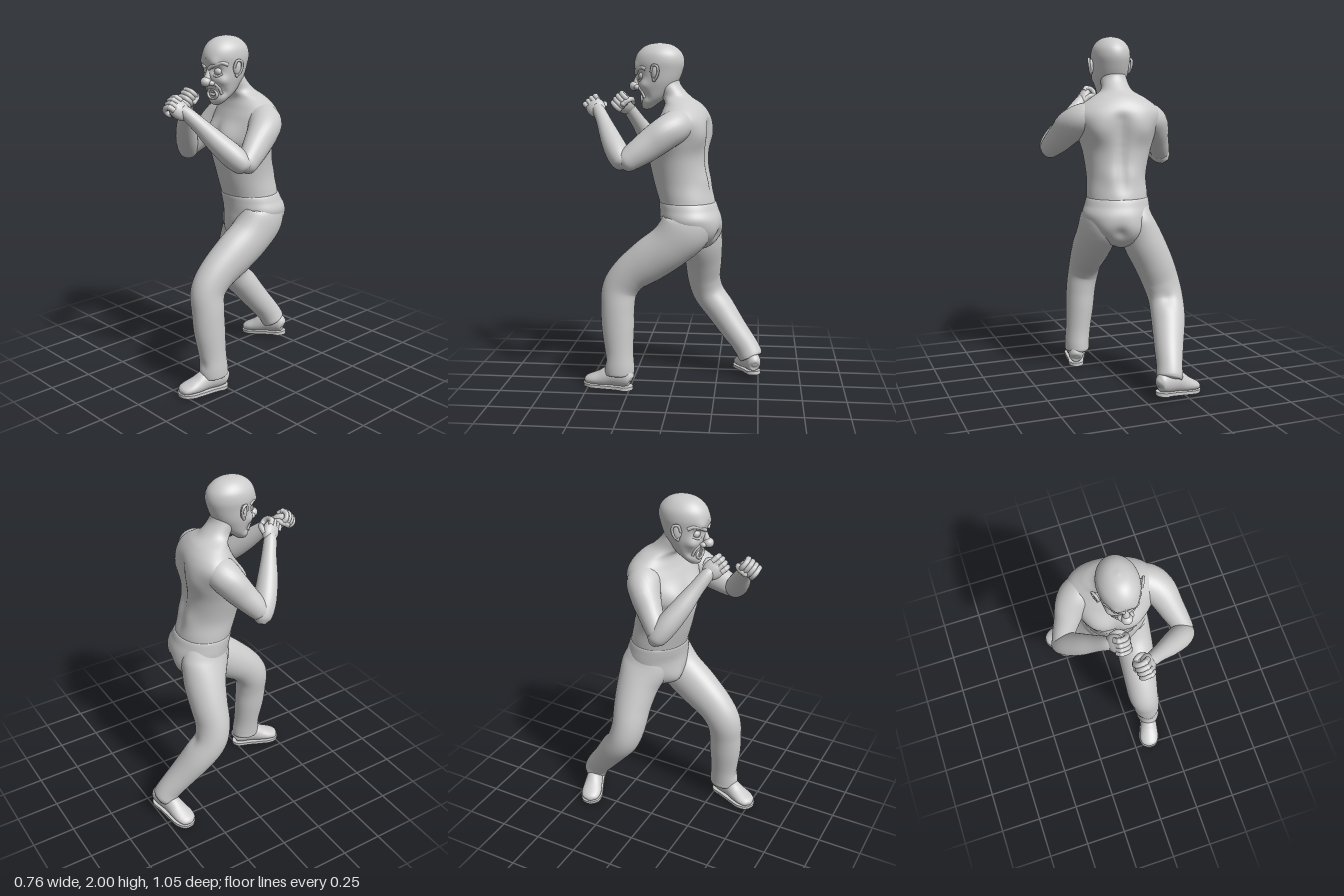
import * as THREE from 'three';

const V = (a) => new THREE.Vector3(a[0], a[1], a[2]);
const mat = new THREE.MeshStandardMaterial({ color: 0xcccccc });

function add(parent, name, geo, pos = [0, 0, 0], scale = [1, 1, 1], rot = [0, 0, 0]) {
  const m = new THREE.Mesh(geo, mat);
  m.name = name;
  m.position.set(...pos);
  m.scale.set(...scale);
  m.rotation.set(...rot);
  parent.add(m);
}
function group(parent, name) {
  const g = new THREE.Group();
  g.name = name;
  parent.add(g);
  return g;
}

// Smooth skin through elliptical sections [x, y, z, radiusA, radiusB]
function loft(rows, { side = [1, 0, 0], axis = null, steps = 6, seg = 28 } = {}) {
  const path = new THREE.CatmullRomCurve3(rows.map(V), false, 'catmullrom', 0.5);
  const size = new THREE.CatmullRomCurve3(rows.map((r) => new THREE.Vector3(r[3], r[4], 0)), false, 'catmullrom', 0.5);
  const n = (rows.length - 1) * steps, pos = [], idx = [];
  for (let i = 0; i <= n; i++) {
    const c = path.getPoint(i / n), s = size.getPoint(i / n);
    const t = axis ? V(axis) : path.getTangent(i / n);
    const u = V(side).addScaledVector(t, -V(side).dot(t)).normalize();
    const w = t.clone().cross(u);
    for (let j = 0; j < seg; j++) {
      const a = (j / seg) * Math.PI * 2;
      const p = c.clone().addScaledVector(u, Math.max(s.x, 0.001) * Math.cos(a))
        .addScaledVector(w, Math.max(s.y, 0.001) * Math.sin(a));
      pos.push(p.x, p.y, p.z);
      if (i < n) {
        const k = i * seg + j, l = i * seg + ((j + 1) % seg);
        idx.push(k, l, k + seg, l, l + seg, k + seg);
      }
    }
  }
  const first = pos.length / 3, last = n * seg;
  pos.push(...path.getPoint(0).toArray(), ...path.getPoint(1).toArray());
  for (let j = 0; j < seg; j++) {
    const l = (j + 1) % seg;
    idx.push(first, l, j, first + 1, last + j, last + l);
  }
  const g = new THREE.BufferGeometry();
  g.setAttribute('position', new THREE.Float32BufferAttribute(pos, 3));
  g.setIndex(idx);
  g.computeVertexNormals();
  return g;
}

// Raise or sink the skin around points: [x, y, z, height, reach]
function swell(geo, bumps) {
  const p = geo.attributes.position, nrm = geo.attributes.normal;
  for (let i = 0; i < p.count; i++) {
    const v = new THREE.Vector3().fromBufferAttribute(p, i);
    const h = bumps.reduce((s, b) => s + b[3] * Math.exp(-v.distanceToSquared(V(b)) / (b[4] * b[4])), 0);
    v.addScaledVector(new THREE.Vector3().fromBufferAttribute(nrm, i), h);
    p.setXYZ(i, v.x, v.y, v.z);
  }
  geo.computeVertexNormals();
  return geo;
}
const tube = (pts, r, n = 14) => new THREE.TubeGeometry(new THREE.CatmullRomCurve3(pts.map(V)), n, r, 8);
const ball = new THREE.SphereGeometry(1, 24, 16);

function buildTorso(man) {
  const c = Math.cos(0.2), s = Math.sin(0.2), side = [c, 0, s];
  const at = (u, y, v) => [c * u - s * v, y, s * u + c * v - 0.02];
  const bumps = [];
  for (const k of [-1, 1]) {
    bumps.push([...at(k * 0.09, 1.44, 0.14), 0.024, 0.075]);      // pectorals
    bumps.push([...at(k * 0.12, 1.48, -0.16), 0.022, 0.075]);     // shoulder blades
    bumps.push([...at(k * 0.055, 1.22, -0.18), 0.01, 0.06]);      // lower back
    for (let i = 0; i < 5; i++) bumps.push([...at(k * (0.02 + i * 0.035), 1.355 + i * i * 0.002, 0.165 - i * 0.012), -0.009, 0.024]);
  }
  for (let i = 0; i < 9; i++) bumps.push([...at(0, 1.14 + i * 0.05, -0.18), -0.014, 0.035]);
  for (let i = 0; i < 5; i++) bumps.push([...at(0, 1.38 + i * 0.04, 0.16), -0.01, 0.026]);
  add(man, 'torso', swell(loft([
    [0.025, 1.04, -0.09, 0.175, 0.155], [0.02, 1.12, -0.073, 0.173, 0.161], [0.015, 1.22, -0.045, 0.171, 0.162],
    [0.007, 1.35, -0.027, 0.194, 0.168], [0.01, 1.45, -0.03, 0.224, 0.165], [0.018, 1.55, -0.055, 0.25, 0.147],
    [0.013, 1.61, -0.062, 0.218, 0.125], [0.005, 1.66, -0.05, 0.15, 0.1], [0, 1.7, -0.01, 0.09, 0.085],
    [0, 1.76, 0.035, 0.076, 0.075], [0, 1.82, 0.05, 0.07, 0.07],
  ], { side, axis: [0, 1, 0], steps: 8, seg: 64 }), bumps));
  // Trouser top with buttocks
  add(man, 'trouserSeat', swell(loft([
    [0.005, 0.81, -0.1, 0.03, 0.04], [0.005, 0.845, -0.1, 0.11, 0.115], [0.02, 0.91, -0.1, 0.17, 0.155],
    [0.035, 1.0, -0.1, 0.194, 0.168], [0.027, 1.06, -0.088, 0.185, 0.167], [0.022, 1.095, -0.08, 0.176, 0.163],
    [0.022, 1.098, -0.08, 0.165, 0.15],
  ], { side, axis: [0, 1, 0], seg: 64, steps: 8 }), [
    [...at(-0.06, 0.93, -0.25), 0.018, 0.08], [...at(0.1, 0.94, -0.25), 0.018, 0.08],
    [...at(0.02, 0.91, -0.25), -0.02, 0.04], [-0.015, 0.88, 0.04, 0.022, 0.05], [0.03, 0.95, 0.06, 0.015, 0.08],
  ]));
}

function buildShoe(parent, pos, yaw, pitch) {
  const g = group(parent, 'shoe');
  g.position.set(...pos);
  g.rotation.set(pitch, yaw, 0, 'YXZ');
  const upper = loft([
    [0, 0.06, -0.13, 0.01, 0.01], [0, 0.065, -0.12, 0.038, 0.045], [0, 0.075, -0.08, 0.047, 0.06],
    [0, 0.073, 0, 0.05, 0.06], [0, 0.055, 0.06, 0.057, 0.047], [0, 0.045, 0.11, 0.06, 0.034],
    [0, 0.036, 0.15, 0.046, 0.025], [0, 0.03, 0.168, 0.012, 0.01],
  ]);
  const p = upper.attributes.position;
  for (let i = 0; i < p.count; i++) p.setY(i, Math.max(p.getY(i), 0.016));
  upper.computeVertexNormals();
  add(g, 'shoeUpper', upper);
  const outline = [[0, -0.135], [0.04, -0.11], [0.048, -0.04], [0.06, 0.05], [0.065, 0.11], [0.044, 0.158], [0, 0.175]];
  const mirror = outline.slice(1, -1).reverse().map(([x, y]) => [-x, y]);
  const curve = new THREE.CatmullRomCurve3([...outline, ...mirror].map(([x, y]) => new THREE.Vector3(x, y, 0)), true);
  const shape = new THREE.Shape(curve.getPoints(48).map((q) => new THREE.Vector2(q.x, q.y)));
  const sole = new THREE.ExtrudeGeometry(shape, { depth: 0.018, bevelEnabled: false }).rotateX(Math.PI / 2);
  add(g, 'sole', sole, [0, 0.022, 0]);
  add(g, 'heel', new THREE.CylinderGeometry(0.042, 0.042, 0.02, 24), [0, 0.01, -0.085], [1, 1, 1.1]);
}

function buildLegs(man) {
  const left = group(man, 'leftLeg'), right = group(man, 'rightLeg');
  add(left, 'leftTrouserLeg', swell(loft([
    [0.1, 1.08, -0.09, 0.04, 0.05], [0.115, 1.04, -0.092, 0.085, 0.115], [0.126, 0.96, -0.076, 0.107, 0.148],
    [0.122, 0.86, 0.01, 0.11, 0.133], [0.11, 0.77, 0.13, 0.107, 0.127], [0.098, 0.68, 0.245, 0.098, 0.112],
    [0.094, 0.59, 0.31, 0.092, 0.105], [0.108, 0.48, 0.322, 0.088, 0.098], [0.118, 0.36, 0.32, 0.084, 0.095],
    [0.132, 0.22, 0.312, 0.075, 0.083], [0.14, 0.13, 0.31, 0.074, 0.088], [0.14, 0.09, 0.308, 0.07, 0.084],
    [0.14, 0.088, 0.308, 0.045, 0.055],
  ], { seg: 36 }), [[0.1, 0.62, 0.2, -0.012, 0.04], [0.14, 0.17, 0.39, -0.01, 0.03]]));
  add(right, 'rightTrouserLeg', swell(loft([
    [-0.055, 1.08, -0.1, 0.04, 0.05], [-0.06, 1.04, -0.11, 0.08, 0.115], [-0.074, 0.95, -0.125, 0.1, 0.144],
    [-0.113, 0.84, -0.15, 0.115, 0.127], [-0.17, 0.72, -0.16, 0.113, 0.111], [-0.218, 0.6, -0.162, 0.108, 0.1],
    [-0.238, 0.5, -0.19, 0.102, 0.096], [-0.222, 0.4, -0.262, 0.099, 0.09], [-0.188, 0.28, -0.35, 0.085, 0.08],
    [-0.16, 0.18, -0.425, 0.073, 0.075], [-0.148, 0.125, -0.455, 0.074, 0.072], [-0.146, 0.12, -0.457, 0.05, 0.05],
  ], { seg: 36 }), [[-0.21, 0.52, -0.28, -0.012, 0.04], [-0.16, 0.2, -0.35, -0.008, 0.03]]));
  buildShoe(left, [0.133, 0, 0.36], -0.28, 0);
  buildShoe(right, [-0.186, 0.018, -0.442], -1.25, 0.12);
  add(right, 'rightAnkle', loft([[-0.15, 0.17, -0.44, 0.04, 0.04], [-0.145, 0.09, -0.455, 0.038, 0.038]]));
}

// Fist: y points away from the wrist, z faces the palm, the thumb lies on the side given by hand
function buildFist(parent, pos, dir, palm, hand) {
  const g = group(parent, 'fist');
  const y = V(dir).normalize();
  const z = V(palm).addScaledVector(y, -V(palm).dot(y)).normalize();
  g.quaternion.setFromRotationMatrix(new THREE.Matrix4().makeBasis(y.clone().cross(z), y, z));
  g.position.set(...pos);
  g.scale.setScalar(1.18);
  add(g, 'palm', ball, [0, -0.004, 0.002], [0.046, 0.058, 0.031]);
  for (let i = 0; i < 4; i++) {
    const x = hand * (0.031 - i * 0.021), d = Math.abs(i - 1.2) * 0.004;
    add(g, 'finger', tube([[x, 0.012, -0.016], [x, 0.044 - d, -0.012], [x, 0.056 - d, 0.014], [x, 0.038, 0.036],
      [x, 0.01, 0.036], [x, 0.004, 0.018]], 0.0125));
    add(g, 'knuckle', ball, [x, 0.044 - d, -0.012], [0.014, 0.014, 0.014]);
  }
  add(g, 'thumb', tube([[hand * 0.032, -0.03, 0.006], [hand * 0.046, -0.004, 0.024], [hand * 0.03, 0.016, 0.044],
    [hand * 0.002, 0.022, 0.048]], 0.0135));
  add(g, 'thumbTip', ball, [hand * 0.002, 0.022, 0.048], [0.0135, 0.0135, 0.0135]);
}

function buildArms(man) {
  const left = group(man, 'leftArm'), right = group(man, 'rightArm');
  const upright = { side: [0, 1, 0] };
  add(left, 'leftUpperArm', swell(loft([
    [0.08, 1.555, -0.05, 0.06, 0.06], [0.15, 1.55, -0.04, 0.085, 0.088], [0.215, 1.53, -0.01, 0.092, 0.095],
    [0.26, 1.485, 0.055, 0.09, 0.084], [0.293, 1.425, 0.135, 0.082, 0.071], [0.32, 1.375, 0.205, 0.068, 0.058],
    [0.333, 1.347, 0.248, 0.053, 0.047], [0.34, 1.332, 0.272, 0.012, 0.012],
  ], upright), [[0.315, 1.53, 0.04, 0.007, 0.06], [0.31, 1.45, 0.09, -0.008, 0.03]]));
  add(left, 'leftForearm', loft([
    [0.352, 1.325, 0.24, 0.015, 0.015], [0.335, 1.345, 0.25, 0.052, 0.05], [0.285, 1.395, 0.285, 0.068, 0.064],
    [0.21, 1.47, 0.335, 0.06, 0.058], [0.13, 1.555, 0.385, 0.044, 0.043], [0.075, 1.61, 0.42, 0.037, 0.037],
    [0.045, 1.635, 0.44, 0.032, 0.032],
  ]));
  buildFist(left, [0.038, 1.64, 0.452], [-0.4, 0.55, 0.5], [-0.85, -0.4, -0.1], -1);
  add(right, 'rightUpperArm', swell(loft([
    [-0.05, 1.555, -0.08, 0.06, 0.06], [-0.12, 1.55, -0.078, 0.085, 0.088], [-0.18, 1.53, -0.065, 0.09, 0.095],
    [-0.225, 1.475, -0.03, 0.085, 0.083], [-0.267, 1.41, 0.02, 0.075, 0.069], [-0.305, 1.35, 0.068, 0.064, 0.058],
    [-0.323, 1.315, 0.088, 0.05, 0.047], [-0.335, 1.29, 0.1, 0.012, 0.012],
  ], upright), [[-0.28, 1.52, -0.03, 0.008, 0.06], [-0.28, 1.44, 0, -0.008, 0.03]]));
  add(right, 'rightForearm', loft([
    [-0.348, 1.268, 0.072, 0.02, 0.02], [-0.33, 1.3, 0.088, 0.054, 0.052], [-0.29, 1.37, 0.13, 0.066, 0.062],
    [-0.23, 1.46, 0.185, 0.058, 0.057], [-0.165, 1.55, 0.235, 0.044, 0.043], [-0.115, 1.62, 0.275, 0.037, 0.037],
    [-0.09, 1.645, 0.29, 0.032, 0.032],
  ]));
  buildFist(right, [-0.08, 1.655, 0.305], [0.4, 0.5, 0.5], [0.8, -0.3, -0.3], 1);
}

function buildHead(man) {
  const head = group(man, 'head');
  const bumps = [[0, 1.685, 0.19, -0.03, 0.026], [0, 1.64, 0.175, 0.008, 0.03], [0, 1.8, 0.2, 0.012, 0.022]];
  for (const k of [-1, 1]) bumps.push([k * 0.045, 1.82, 0.19, -0.022, 0.026], [k * 0.065, 1.765, 0.165, 0.016, 0.03],
    [k * 0.045, 1.86, 0.205, 0.012, 0.026], [k * 0.06, 1.7, 0.15, -0.008, 0.02]);
  add(head, 'skull', swell(loft([
    [0, 1.628, 0.15, 0.015, 0.01], [0, 1.638, 0.148, 0.04, 0.028], [0, 1.66, 0.14, 0.06, 0.05], [0, 1.69, 0.12, 0.074, 0.073],
    [0, 1.73, 0.104, 0.086, 0.094], [0, 1.78, 0.092, 0.098, 0.115], [0, 1.84, 0.086, 0.105, 0.133],
    [0, 1.89, 0.085, 0.11, 0.143], [0, 1.935, 0.083, 0.102, 0.131], [0, 1.97, 0.083, 0.077, 0.1],
    [0, 1.991, 0.083, 0.045, 0.06], [0, 2, 0.083, 0.004, 0.004],
  ], { axis: [0, 1, 0], steps: 8, seg: 64 }), bumps));
  add(head, 'noseTip', ball, [0, 1.757, 0.23], [0.03, 0.027, 0.03]);
  add(head, 'noseBridge', loft([[0, 1.835, 0.2, 0.01, 0.01], [0, 1.8, 0.211, 0.015, 0.016], [0, 1.76, 0.223, 0.022, 0.022]]));
  for (const k of [-1, 1]) {
    add(head, 'nostril', ball, [k * 0.027, 1.75, 0.212], [0.016, 0.015, 0.018]);
    add(head, 'eye', ball, [k * 0.045, 1.814, 0.178], [0.024, 0.022, 0.022]);
    add(head, 'brow', tube([[k * 0.01, 1.828, 0.218], [k * 0.04, 1.847, 0.211], [k * 0.075, 1.862, 0.178], [k * 0.092, 1.85, 0.15]], 0.011));
    add(head, 'eyeBag', tube([[k * 0.02, 1.8, 0.198], [k * 0.045, 1.788, 0.194], [k * 0.073, 1.802, 0.17]], 0.006));
    add(head, 'cheekFold', tube([[k * 0.03, 1.752, 0.202], [k * 0.052, 1.725, 0.18], [k * 0.056, 1.69, 0.164]], 0.008));
    // Ear: shell, curled rim and lobe
    add(head, 'ear', ball, [k * 0.112, 1.832, 0.1], [0.014, 0.042, 0.024], [0, -k * 0.4, 0]);
    add(head, 'earRim', tube([[k * 0.112, 1.835, 0.122], [k * 0.122, 1.872, 0.11], [k * 0.132, 1.868, 0.086],
      [k * 0.13, 1.835, 0.08], [k * 0.12, 1.8, 0.094], [k * 0.11, 1.79, 0.106]], 0.0075, 24));
    add(head, 'earLobe', ball, [k * 0.112, 1.794, 0.104], [0.009, 0.013, 0.011]);
  }
  // Snarling mouth
  add(head, 'lips', new THREE.TorusGeometry(0.036, 0.009, 10, 36), [0, 1.687, 0.182], [1, 0.72, 1]);
  const tooth = new THREE.BoxGeometry(0.009, 0.013, 0.007);
  for (let i = -3; i <= 3; i++)
    for (const k of [-1, 1]) add(head, 'tooth', tooth, [i * 0.0095, 1.687 + k * (0.016 - Math.abs(i) * 0.002), 0.183 - i * i * 0.001]);
  add(head, 'foreheadWrinkle', tube([[-0.055, 1.894, 0.206], [-0.03, 1.888, 0.22], [0, 1.885, 0.2255],
    [0.03, 1.888, 0.22], [0.055, 1.894, 0.206]], 0.0035));
}

export function createModel() {
  const man = new THREE.Group();
  man.name = 'boxingMan';
  buildTorso(man);
  buildLegs(man);
  buildArms(man);
  buildHead(man);
  return man;
}
